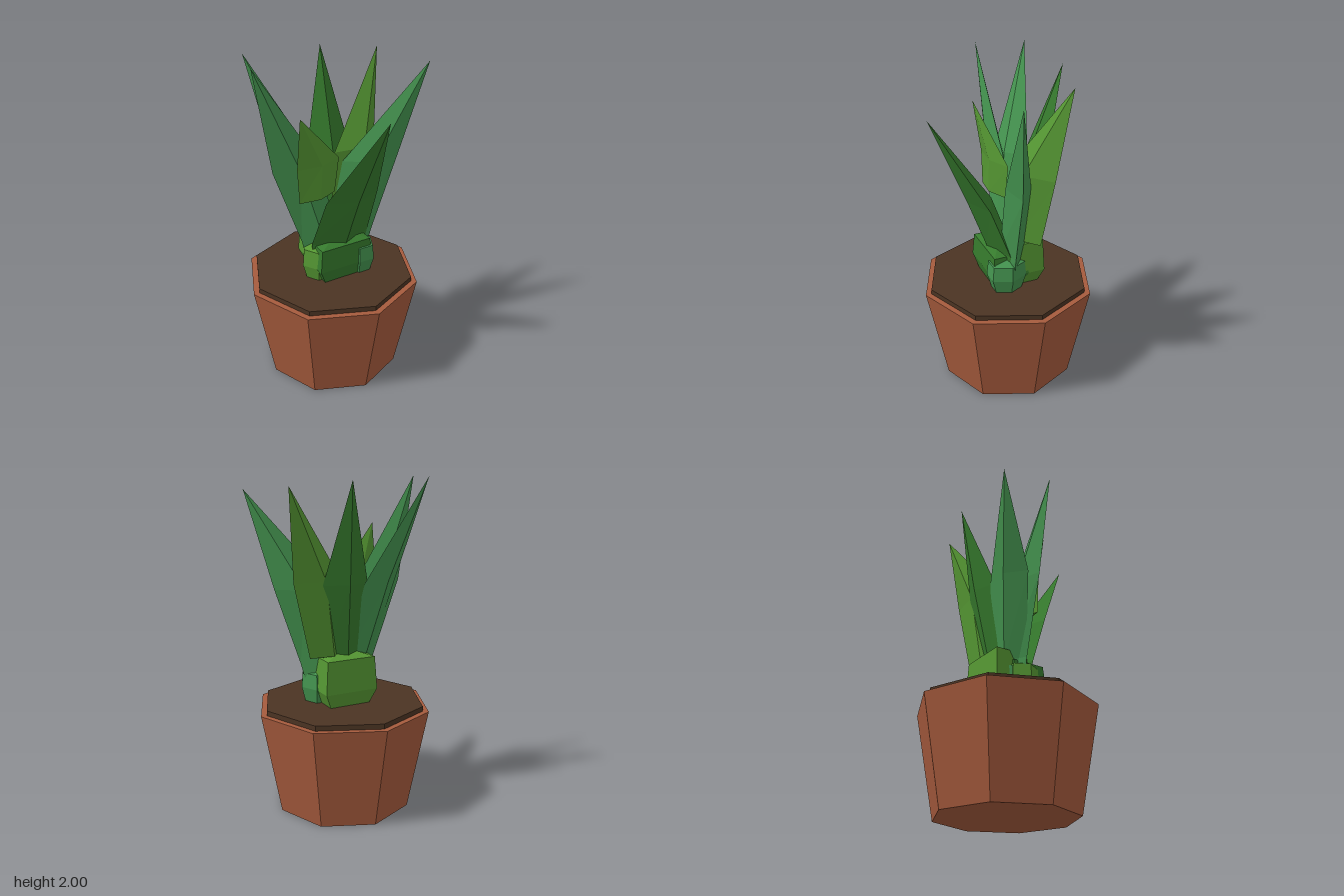
import * as THREE from 'three';

const material = (name, color) => {
  const m = new THREE.MeshStandardMaterial({ color });
  m.name = name;
  return m;
};

// Faceted normals on any geometry
function faceted(geometry) {
  const g = geometry.index ? geometry.toNonIndexed() : geometry;
  g.computeVertexNormals();
  return g;
}

// Four-sided blade through horizontal diamond rings, closing at the tip.
// ring: [x, y, z, half width, half thickness]; turn: heading of the width in plan
function bladeGeometry(rings, tip, turn) {
  const positions = [], index = [0, 1, 2, 0, 2, 3];
  const c = Math.cos(turn), s = Math.sin(turn);
  for (const [x, y, z, w, t] of rings) {
    positions.push(x + c * w, y, z + s * w, x - s * t, y, z + c * t);
    positions.push(x - c * w, y, z - s * w, x + s * t, y, z - c * t);
  }
  positions.push(...tip);
  const last = rings.length - 1, apex = rings.length * 4;
  for (let r = 0; r <= last; r++) {
    for (let i = 0; i < 4; i++) {
      const a = r * 4 + i, b = r * 4 + (i + 1) % 4;
      if (r === last) index.push(a, apex, b);
      else index.push(a, a + 4, b, b, a + 4, b + 4);
    }
  }
  const g = new THREE.BufferGeometry();
  g.setAttribute('position', new THREE.Float32BufferAttribute(positions, 3));
  g.setIndex(index);
  return faceted(g);
}

// Chunky few-sided swelling at the foot of a leaf, with a flat side to the front
function bulbGeometry(width, depth, top, sides = 6) {
  const profile = [[0, 0.64], [0.72, 0.64], [1, 0.75], [0.92, top], [0, top + 0.05]];
  const points = profile.map(([r, y]) => new THREE.Vector2(r, y));
  const g = new THREE.LatheGeometry(points, sides, Math.PI / sides);
  g.scale(width, 1, depth);
  return faceted(g);
}

export function createModel() {
  const model = new THREE.Group();
  const clay = material('terracotta', 0xa65b3d);
  const earth = material('soil brown', 0x4b3423);
  const green = material('leaf green', 0x367a2d);
  const teal = material('blue green', 0x44934f);
  const lime = material('yellow green', 0x559733);

  const add = (name, geometry, mat, parent = model) => {
    const mesh = new THREE.Mesh(geometry, mat);
    mesh.name = name;
    parent.add(mesh);
    return mesh;
  };

  // Octagonal pot and the soil standing just above its rim
  add('pot', faceted(new THREE.CylinderGeometry(0.54, 0.42, 0.63, 8)), clay).position.y = 0.315;
  add('soil', faceted(new THREE.CylinderGeometry(0.503, 0.503, 0.06, 8)), earth).position.y = 0.63;

  // One leaf: a blade from shoulder ring over middle ring to tip, and a bulb
  // [x, z, width, depth, top, sides]. Low shoulders narrow to a foot in the soil.
  function addLeaf(name, mat, turn, shoulder, middle, tip, [bulbX, bulbZ, ...bulbSize]) {
    const leaf = new THREE.Group();
    leaf.name = name;
    model.add(leaf);
    const [x, y, z, w, t] = shoulder;
    const rings = [shoulder, middle];
    if (y < 0.95) rings.unshift([x * 0.8, 0.65, z * 0.8, w * 0.7, t]);
    add('blade', bladeGeometry(rings, tip, turn), mat, leaf);
    add('bulb', bulbGeometry(...bulbSize), mat, leaf).position.set(bulbX, 0, bulbZ);
  }

  addLeaf('frontLeaf', green, 0, [0.015, 0.9, 0.07, 0.195, 0.075], [0.025, 1.22, 0.19, 0.172, 0.075],
    [0.06, 1.76, 0.49], [0.01, 0.055, 0.255, 0.16, 0.89, 4]);
  addLeaf('leftLeaf', teal, 0.27, [0.12, 0.9, 0.02, 0.14, 0.075], [0.24, 1.36, 0.04, 0.17, 0.072],
    [0.55, 1.93, 0.155], [0.145, 0.07, 0.1, 0.125, 0.84]);
  addLeaf('backLeftLeaf', lime, -0.3, [0.13, 0.97, -0.055, 0.14, 0.06], [0.2, 1.42, -0.07, 0.18, 0.078],
    [0.42, 1.955, -0.19], [0.02, -0.05, 0.24, 0.16, 0.95, 4]);
  addLeaf('backLeaf', green, 0, [0.02, 0.9, -0.05, 0.14, 0.055], [0.055, 1.4, -0.14, 0.145, 0.06],
    [0.09, 1.985, -0.29], [0, -0.03, 0.13, 0.11, 0.88]);
  addLeaf('backRightLeaf', teal, -0.35, [-0.08, 0.9, -0.03, 0.12, 0.055], [-0.195, 1.4, -0.11, 0.14, 0.06],
    [-0.4, 2, -0.285], [-0.07, -0.03, 0.11, 0.1, 0.85]);
  addLeaf('rightLeaf', teal, 0, [-0.09, 0.9, 0.005, 0.12, 0.06], [-0.225, 1.38, -0.015, 0.15, 0.052],
    [-0.48, 2, 0], [-0.08, 0.01, 0.11, 0.1, 0.85]);
  addLeaf('shortLeaf', lime, -0.16, [-0.12, 1.19, 0.04, 0.13, 0.035], [-0.11, 1.4, 0.037, 0.152, 0.038],
    [-0.26, 1.72, 0.11], [-0.11, 0.03, 0.11, 0.11, 0.86]);
  return model;
}
